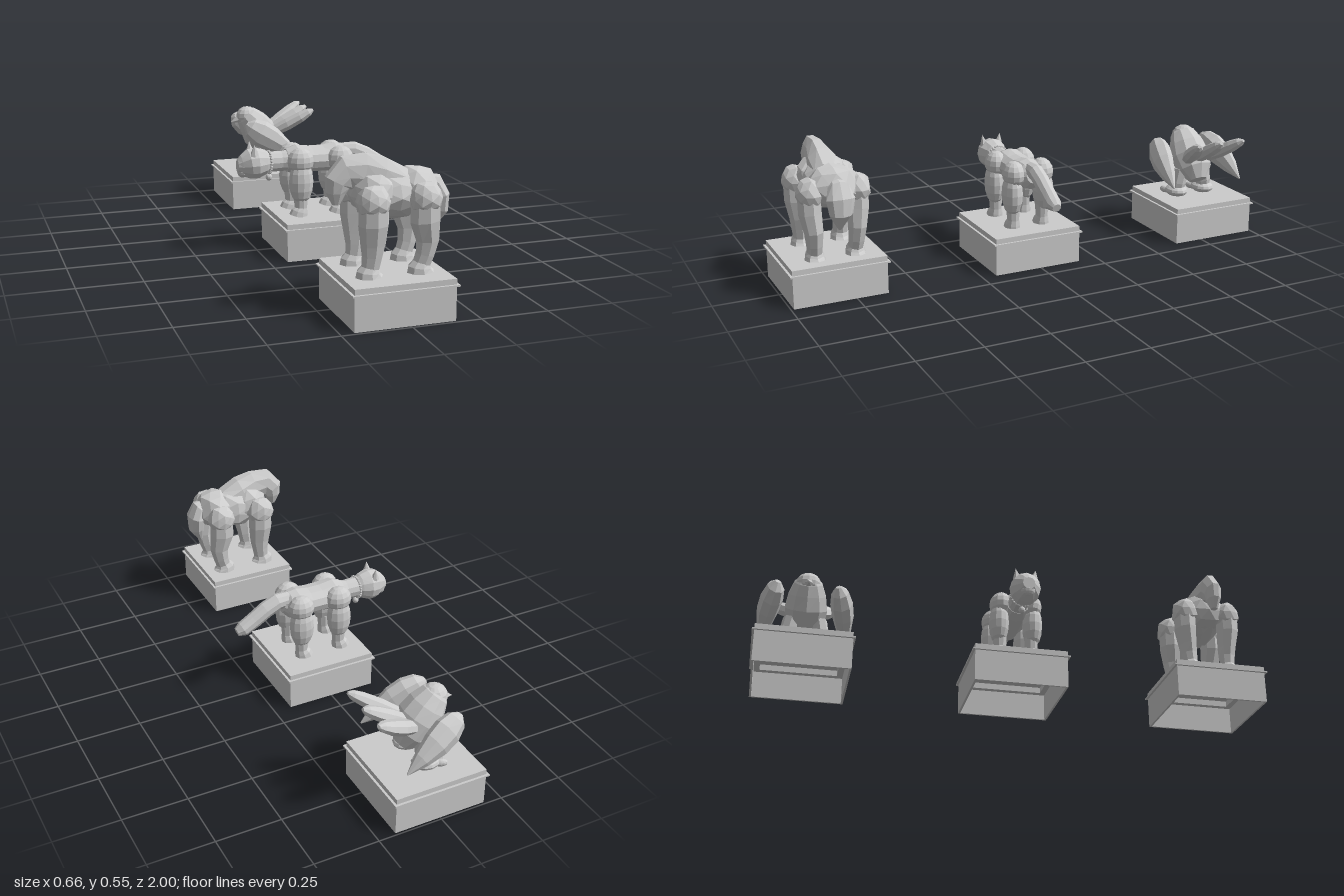
import * as THREE from 'three';

const mat = new THREE.MeshStandardMaterial({ color: 0xcccccc, flatShading: true, side: THREE.DoubleSide });

function add(parent, name, geo, pos = [0, 0, 0], rot = [0, 0, 0]) {
  const m = new THREE.Mesh(geo, mat);
  m.name = name;
  m.position.set(...pos);
  m.rotation.set(...rot);
  parent.add(m);
  return m;
}

// Rounded lump; faceted ones are slightly uneven like hand-carved stone
function lump(parent, name, pos, radii, rot, carved = false) {
  const geo = carved ? new THREE.IcosahedronGeometry(1, 1) : new THREE.SphereGeometry(1, 12, 8);
  if (carved) {
    const p = geo.attributes.position, v = new THREE.Vector3();
    for (let i = 0; i < p.count; i++) {
      v.fromBufferAttribute(p, i);
      v.multiplyScalar(1 + 0.05 * Math.sin(7 * v.x + 5 * v.y + 9 * v.z));
      p.setXYZ(i, v.x, v.y, v.z);
    }
  }
  geo.scale(...radii);
  geo.computeVertexNormals();
  return add(parent, name, geo, pos, rot);
}

// Skin over elliptical sections: each is [x, y, z, radius in the xy plane, radius across]
function loft(parent, name, sections, sides = 9) {
  const c = sections.map(s => new THREE.Vector3(s[0], s[1], s[2]));
  const n = c.length, pts = [], idx = [];
  sections.forEach((sec, i) => {
    const t = c[Math.min(i + 1, n - 1)].clone().sub(c[Math.max(i - 1, 0)]).normalize();
    const s = new THREE.Vector3(0, 0, 1).addScaledVector(t, -t.z).normalize();
    const u = s.clone().cross(t);
    for (let j = 0; j < sides; j++) {
      const a = j / sides * Math.PI * 2;
      const p = c[i].clone().addScaledVector(u, Math.cos(a) * sec[3]).addScaledVector(s, Math.sin(a) * sec[4]);
      pts.push(p.x, p.y, p.z);
    }
  });
  for (const e of [c[0], c[n - 1]]) pts.push(e.x, e.y, e.z);
  const last = (n - 1) * sides;
  for (let j = 0; j < sides; j++) {
    const k = (j + 1) % sides;
    for (let r = 0; r < last; r += sides) {
      idx.push(r + j, r + k, r + sides + k, r + j, r + sides + k, r + sides + j);
    }
    idx.push(n * sides, k, j, n * sides + 1, last + j, last + k);
  }
  const geo = new THREE.BufferGeometry();
  geo.setAttribute('position', new THREE.Float32BufferAttribute(pts, 3));
  geo.setIndex(idx);
  geo.computeVertexNormals();
  return add(parent, name, geo);
}

// Upright square frame
function frame(parent, name, outer, inner, y, h) {
  const square = (P, r) => new P([[-r, -r], [r, -r], [r, r], [-r, r]].map(q => new THREE.Vector2(...q)));
  const s = square(THREE.Shape, outer);
  s.holes.push(square(THREE.Path, inner));
  const geo = new THREE.ExtrudeGeometry(s, { depth: h, bevelEnabled: false }).rotateX(-Math.PI / 2);
  add(parent, name, geo, [0, y, 0]);
}

// Plinth, hollow and open from below
function plinth(parent, x, z) {
  const g = new THREE.Group();
  g.name = 'plinth';
  g.position.set(x, 0, z);
  frame(g, 'plinthWalls', 0.181, 0.173, 0, 0.123);
  frame(g, 'plinthRim', 0.19, 0.15, 0.122, 0.006);
  frame(g, 'plinthInnerLedge', 0.174, 0.15, 0.105, 0.018);
  add(g, 'plinthTop', new THREE.BoxGeometry(0.362, 0.02, 0.362), [0, 0.138, 0]);
  parent.add(g);
}

function horse() {
  const g = new THREE.Group();
  g.name = 'horse';
  lump(g, 'belly', [0, 0.41, 0], [0.13, 0.088, 0.095], [0, 0, 0], true);
  lump(g, 'chest', [-0.07, 0.425, 0], [0.085, 0.08, 0.1], [0, 0, 0.2], true);
  lump(g, 'rump', [0.08, 0.42, 0], [0.085, 0.082, 0.1], [0, 0, -0.2], true);
  loft(g, 'neckAndHead', [
    [0.03, 0.44, 0, 0.06, 0.06], [-0.05, 0.465, 0, 0.078, 0.06], [-0.11, 0.487, 0, 0.07, 0.044],
    [-0.165, 0.49, 0, 0.062, 0.036], [-0.195, 0.46, 0, 0.05, 0.034], [-0.2, 0.425, 0, 0.036, 0.028],
    [-0.2, 0.385, 0, 0.014, 0.014]]);
  loft(g, 'tail', [
    [0.11, 0.45, 0, 0.02, 0.02], [0.15, 0.435, 0, 0.035, 0.04], [0.17, 0.395, 0, 0.034, 0.055],
    [0.17, 0.34, 0, 0.032, 0.045], [0.148, 0.275, 0, 0.006, 0.006]]);
  for (const s of [1, -1]) {
    lump(g, 'shoulder', [-0.1, 0.405, s * 0.088], [0.06, 0.06, 0.053], [0, 0, 0], true);
    lump(g, 'haunch', [0.086, 0.405, s * 0.088], [0.06, 0.06, 0.053], [0, 0, 0], true);
    loft(g, 'frontLeg', [
      [-0.1, 0.4, s * 0.09, 0.052, 0.045], [-0.1, 0.33, s * 0.09, 0.054, 0.044], [-0.098, 0.26, s * 0.083, 0.045, 0.036],
      [-0.1, 0.22, s * 0.08, 0.037, 0.033], [-0.105, 0.18, s * 0.078, 0.033, 0.029]], 8);
    loft(g, 'backLeg', [
      [0.085, 0.4, s * 0.09, 0.052, 0.045], [0.085, 0.33, s * 0.09, 0.055, 0.044], [0.098, 0.26, s * 0.083, 0.042, 0.036],
      [0.09, 0.21, s * 0.08, 0.034, 0.032], [0.08, 0.18, s * 0.078, 0.033, 0.029]], 8);
    for (const x of [-0.11, 0.075]) {
      loft(g, 'hoof', [[x + 0.005, 0.185, s * 0.078, 0.028, 0.027], [x - 0.002, 0.165, s * 0.078, 0.042, 0.036],
        [x, 0.146, s * 0.078, 0.05, 0.04]], 8);
    }
  }
  return g;
}

function cat() {
  const g = new THREE.Group();
  g.name = 'cat';
  loft(g, 'torso', [
    [0.13, 0.365, 0, 0.03, 0.03], [0.105, 0.36, 0, 0.055, 0.055], [0.07, 0.36, 0, 0.06, 0.066], [0.02, 0.36, 0, 0.052, 0.07],
    [-0.03, 0.36, 0, 0.052, 0.07], [-0.09, 0.36, 0, 0.06, 0.066], [-0.13, 0.36, 0, 0.045, 0.045]], 12);
  loft(g, 'neck', [[-0.1, 0.36, 0, 0.045, 0.045], [-0.15, 0.358, 0, 0.04, 0.037], [-0.21, 0.358, 0, 0.042, 0.04]], 12);
  loft(g, 'head', [
    [-0.19, 0.358, 0, 0.03, 0.03], [-0.215, 0.358, 0, 0.05, 0.045], [-0.25, 0.357, 0, 0.062, 0.06], [-0.28, 0.355, 0, 0.06, 0.057],
    [-0.31, 0.35, 0, 0.042, 0.036], [-0.327, 0.35, 0, 0.025, 0.024]], 12);
  lump(g, 'muzzle', [-0.308, 0.328, 0], [0.02, 0.024, 0.028]);
  loft(g, 'tail', [
    [0.1, 0.385, 0, 0.03, 0.028], [0.15, 0.383, 0, 0.034, 0.032], [0.2, 0.36, 0, 0.034, 0.032], [0.25, 0.328, 0, 0.033, 0.03],
    [0.3, 0.3, 0, 0.03, 0.03], [0.325, 0.292, 0, 0.017, 0.018]], 10);
  // Beaded collar with a hanging bell
  for (let i = 0; i < 24; i++) {
    const a = i / 24 * Math.PI * 2;
    add(g, 'collarBead', new THREE.SphereGeometry(0.0055, 6, 4), [-0.2, 0.357 + Math.cos(a) * 0.043, Math.sin(a) * 0.043]);
  }
  lump(g, 'bell', [-0.2, 0.297, 0], [0.013, 0.014, 0.013]);
  for (const s of [1, -1]) {
    add(g, 'ear', new THREE.ConeGeometry(0.018, 0.045, 6), [-0.268, 0.416, s * 0.036], [s * 0.15, 0, 0]);
    for (const x of [-0.088, 0.076]) {
      lump(g, 'upperLegJoint', [x, 0.365, s * 0.06], [0.054, 0.052, 0.045]);
      lump(g, 'thigh', [x, 0.285, s * 0.067], [0.05, 0.09, 0.04]);
      loft(g, 'lowerLeg', [[x, 0.23, s * 0.063, 0.03, 0.028], [x, 0.18, s * 0.063, 0.025, 0.024],
        [x - 0.005, 0.165, s * 0.063, 0.033, 0.03], [x - 0.01, 0.146, s * 0.063, 0.038, 0.033]], 9);
    }
  }
  return g;
}

function bird() {
  const g = new THREE.Group();
  g.name = 'bird';
  loft(g, 'body', [
    [0.06, 0.22, 0, 0.03, 0.04], [0.03, 0.26, 0, 0.07, 0.075], [-0.01, 0.31, 0, 0.08, 0.085], [-0.04, 0.355, 0, 0.068, 0.075],
    [-0.07, 0.39, 0, 0.05, 0.056], [-0.09, 0.41, 0, 0.025, 0.03]], 10);
  lump(g, 'head', [-0.065, 0.385, 0], [0.05, 0.046, 0.05]);
  add(g, 'beak', new THREE.ConeGeometry(0.025, 0.055, 6), [-0.115, 0.37, 0], [0, 0, Math.PI / 2 + 0.3]);
  // Fanned tail feathers
  for (const s of [-1, 0, 1]) {
    loft(g, 'tailFeather', [
      [0.0, 0.29, s * 0.02, 0.012, 0.014], [0.05, 0.317, s * 0.043, 0.024, 0.03], [0.11, 0.352, s * 0.07, 0.028, 0.036],
      [0.165, 0.385, s * 0.091, 0.025, 0.032], [0.2, 0.407, s * 0.102, 0.018, 0.022], [0.217, 0.417, s * 0.108, 0.006, 0.008]], 8);
  }
  for (const s of [1, -1]) {
    loft(g, 'wing', [
      [-0.1, 0.37, s * 0.115, 0.012, 0.012], [-0.08, 0.355, s * 0.122, 0.044, 0.034], [-0.04, 0.33, s * 0.133, 0.06, 0.044],
      [0.01, 0.3, s * 0.145, 0.056, 0.042], [0.07, 0.262, s * 0.155, 0.035, 0.028], [0.13, 0.222, s * 0.163, 0.003, 0.003]], 8);
    loft(g, 'leg', [[0, 0.26, s * 0.05, 0.04, 0.035], [0, 0.2, s * 0.062, 0.036, 0.034], [0, 0.175, s * 0.065, 0.03, 0.03]], 8);
    lump(g, 'foot', [-0.005, 0.165, s * 0.065], [0.055, 0.025, 0.046]);
    for (const t of [-1, 0, 1]) lump(g, 'toe', [-0.05, 0.16, s * 0.065 + t * 0.027], [0.026, 0.015, 0.014], [0, t * 0.4, 0]);
  }
  return g;
}

export function createModel() {
  const root = new THREE.Group();
  root.name = 'threeAnimalStatues';
  const rows = [[horse(), 0.8, -0.02, 0.808], [cat(), 0.008, 0, 0.012], [bird(), -0.805, 0, -0.81]];
  for (const [animal, z, px, pz] of rows) {
    const statue = new THREE.Group();
    statue.name = animal.name + 'Statue';
    animal.position.z = z;
    statue.add(animal);
    plinth(statue, px, pz);
    root.add(statue);
  }
  return root;
}
